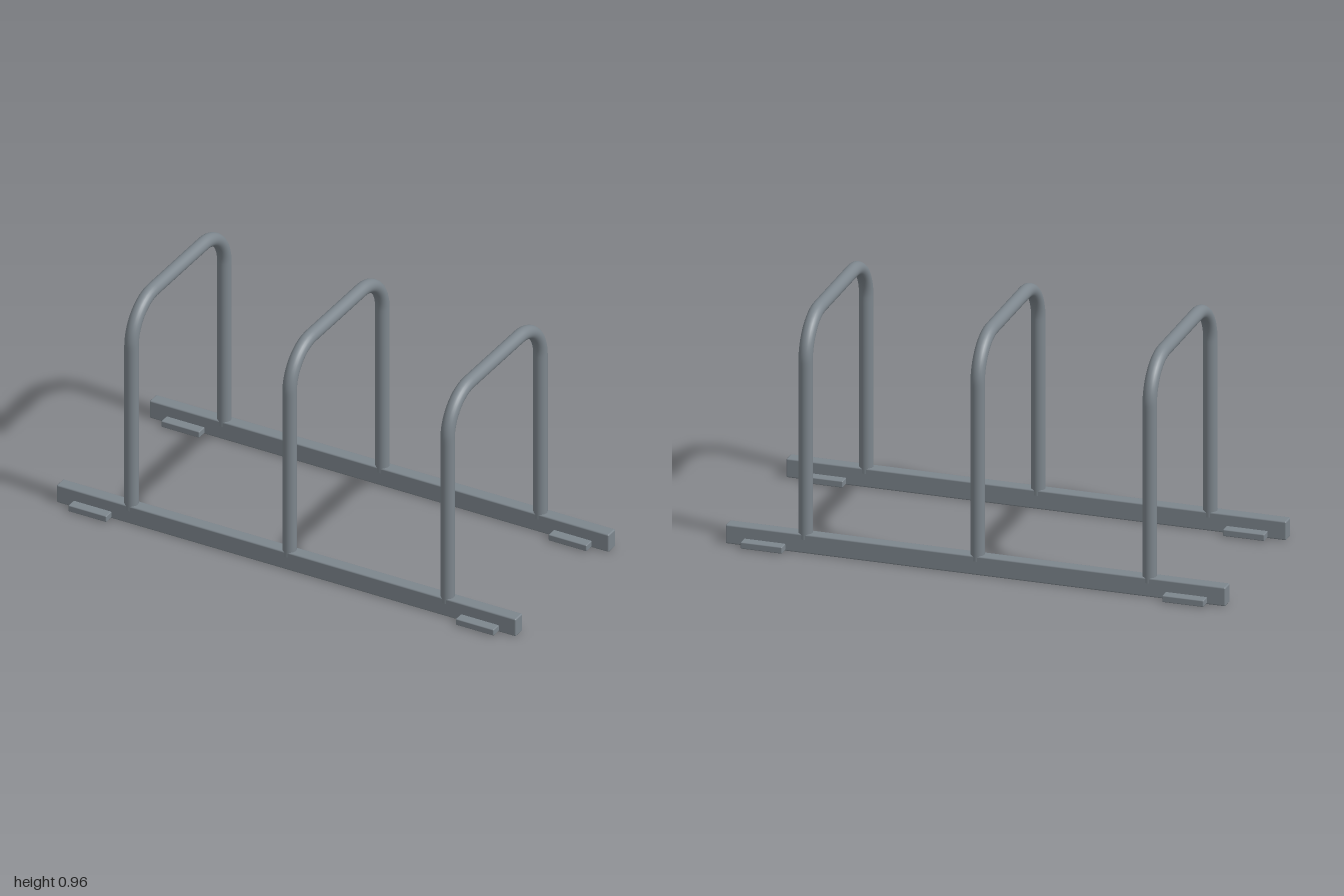
import * as THREE from 'three';
import { RoundedBoxGeometry } from 'three/addons/geometries/RoundedBoxGeometry.js';

const RAIL_Z = 0.356;     // centre line of the rails and hoop legs
const TUBE_R = 0.0275;
const TOP = 0.934;        // height of the hoop's centre line
const BEND = 0.165;       // radius of the hoop corners
const FOOT = 0.055;       // hoop legs end inside the rails

// Centre line of a hoop: leg, bend, top bar, bend, leg
function hoopPath() {
  const v = (y, z) => new THREE.Vector3(0, y, z);
  const k = BEND * 0.5523;
  const low = TOP - BEND, inner = RAIL_Z - BEND;
  const path = new THREE.CurvePath();
  path.add(new THREE.LineCurve3(v(FOOT, RAIL_Z), v(low, RAIL_Z)));
  path.add(new THREE.CubicBezierCurve3(
    v(low, RAIL_Z), v(low + k, RAIL_Z), v(TOP, inner + k), v(TOP, inner)));
  path.add(new THREE.LineCurve3(v(TOP, inner), v(TOP, -inner)));
  path.add(new THREE.CubicBezierCurve3(
    v(TOP, -inner), v(TOP, -inner - k), v(low + k, -RAIL_Z), v(low, -RAIL_Z)));
  path.add(new THREE.LineCurve3(v(low, -RAIL_Z), v(FOOT, -RAIL_Z)));
  return path;
}

export function createModel() {
  const group = new THREE.Group();
  const steel = new THREE.MeshStandardMaterial({ color: 0x7d868d });
  steel.name = 'galvanised steel';

  const add = (name, geometry, x, y, z) => {
    const mesh = new THREE.Mesh(geometry, steel);
    mesh.name = name;
    mesh.position.set(x, y, z);
    group.add(mesh);
  };

  // Three bent tube hoops
  const hoop = new THREE.TubeGeometry(hoopPath(), 120, TUBE_R, 24, false);
  for (const x of [-0.688, 0, 0.688]) add('hoop', hoop, x, 0, 0);

  // Two ground rails, each with a foot plate near either end
  const rail = new RoundedBoxGeometry(2, 0.077, 0.053, 2, 0.006);
  const plate = new RoundedBoxGeometry(0.166, 0.027, 0.133, 2, 0.004);
  for (const side of [1, -1]) {
    add('groundRail', rail, 0, 0.0385, side * RAIL_Z);
    for (const end of [1, -1]) {
      add('footPlate', plate, end * 0.843, 0.0165, side * RAIL_Z);
    }
  }
  return group;
}
